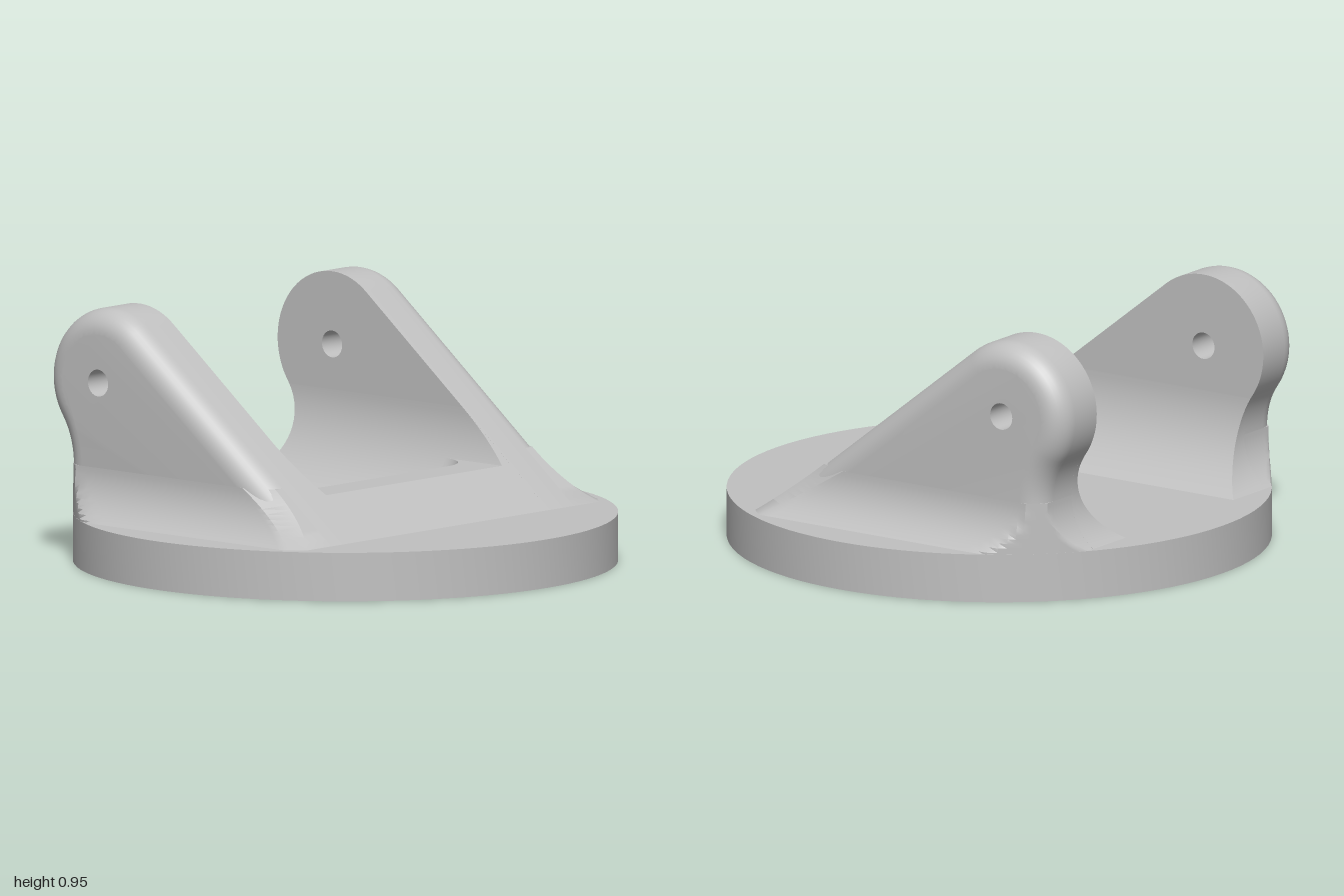
import * as THREE from 'three';
import { toCreasedNormals } from 'three/addons/utils/BufferGeometryUtils.js';

const FLOOR = 0.18, NECK = 0.37, SLOPE = 0.789;
const PIVOT = { z: -0.545, y: 0.685, r: 0.27 };

// Side profile rules as functions of height
const slopeZ = y => 0.53 - (y - FLOOR) / SLOPE;
const arcDrop = (r, d) => r - Math.sqrt(r * r - d * d);
const flare = y => (y < NECK ? arcDrop(0.235, NECK - y) : 0);
const backZ = y => -0.715 - (y < NECK ? flare(y) : arcDrop(0.276, y - NECK));
const innerX = y => 0.525 - arcDrop(0.4, Math.max(0, 0.517 - y));
const steps = (a, b, n) => Array.from({ length: n + 1 }, (_, i) => a + (b - a) * i / n);

// Capped loft through rings of [u, v] at heights w, with an optional straight hole.
// axis 'y': u = x, v = z, w = y.  axis 'x': u = z, v = y, w = x.
function loft(levels, axis = 'y', hole = []) {
  const pos = [], idx = [], n = levels[0].ring.length, m = hole.length, stride = n + m;
  const toV2 = r => r.map(p => new THREE.Vector2(p[0], p[1]));
  const clockwise = THREE.ShapeUtils.isClockWise(toV2(levels[0].ring));
  const rings = levels.map(l => (clockwise ? [...l.ring].reverse() : l.ring));
  rings.forEach((ring, k) => [...ring, ...hole].forEach(([u, v]) => {
    const w = levels[k].w;
    if (axis === 'y') pos.push(u, w, v); else pos.push(w, v, u);
  }));
  const wall = (start, count, flip) => {
    for (let k = 0; k < rings.length - 1; k++) for (let i = 0; i < count; i++) {
      const a = k * stride + start + i, b = k * stride + start + (i + 1) % count;
      const c = b + stride, d = a + stride;
      if (flip) idx.push(a, b, c, a, c, d); else idx.push(a, c, b, a, d, c);
    }
  };
  wall(0, n, false);
  if (m) wall(n, m, true);
  const last = (rings.length - 1) * stride;
  const cap = (ring, base, flip) => {
    for (const [a, b, c] of THREE.ShapeUtils.triangulateShape(toV2(ring), m ? [toV2(hole)] : [])) {
      if (flip) idx.push(base + a, base + b, base + c); else idx.push(base + a, base + c, base + b);
    }
  };
  cap(rings[0], 0, true);
  cap(rings[rings.length - 1], last, false);
  const g = new THREE.BufferGeometry();
  g.setAttribute('position', new THREE.Float32BufferAttribute(pos, 3));
  g.setIndex(idx);
  return g;
}

function mirrored(geometry) {
  const g = geometry.clone().scale(-1, 1, 1);
  g.index.array.reverse();
  return g;
}

// Lug plate: sloped front, round head, waisted back, rounded outer edge
function lugPlate() {
  const tilt = 0.902, outline = []; // z, y, normal z, normal y
  const cn = Math.cos(tilt), sn = Math.sin(tilt);
  outline.push([slopeZ(0.12), 0.12, cn, sn]);
  for (const a of steps(tilt, Math.PI + 0.615, 40)) {
    outline.push([PIVOT.z + PIVOT.r * Math.cos(a), PIVOT.y + PIVOT.r * Math.sin(a), Math.cos(a), Math.sin(a)]);
  }
  for (const y of steps(0.515, NECK, 8)) {
    const s = (y - NECK) / 0.276;
    outline.push([backZ(y), y, -Math.sqrt(1 - s * s), -s]);
  }
  outline.push([-0.715, 0.12, -1, 0]);
  const inset = d => outline.map(([z, y, nz, ny]) => [z - nz * d, y - ny * d]);
  const levels = [{ w: 0.525, ring: inset(0) }];
  for (const a of steps(0, Math.PI / 2, 8)) {
    levels.push({ w: 0.66 + 0.09 * Math.sin(a), ring: inset(0.09 * (1 - Math.cos(a))) });
  }
  const hole = steps(0, 2 * Math.PI, 32).slice(0, -1)
    .map(a => [PIVOT.z + 0.05 * Math.cos(a), PIVOT.y + 0.05 * Math.sin(a)]);
  return loft(levels, 'x', hole);
}

// Flared outer foot, trimmed to the disc rim
function outerFoot() {
  return loft(steps(0.17, NECK, 12).map(y => {
    const x = 0.75 + flare(y), zb = backZ(y), zf = slopeZ(y);
    const cut = 0.05 + 0.07 * (y - 0.17) / 0.2;
    const ring = [[0.54, zf]];
    for (const t of steps(0.54, x, 12)) ring.push([t, zb]);
    for (const t of steps(zb, zf - cut, 30).slice(1)) ring.push([x, t]);
    ring.push([x - 0.05, zf]);
    return {
      w: y,
      ring: ring.map(([u, v]) => {
        const k = Math.min(1, 0.999 / Math.hypot(u, v));
        return [u * k, v * k];
      }),
    };
  }));
}

// Concave fillet on the inside of each lug
function innerFillet() {
  return loft(steps(0.17, 0.517, 16).map(y => ({
    w: y,
    ring: [[innerX(y), slopeZ(y)], [innerX(y), backZ(y)], [0.545, backZ(y)], [0.545, slopeZ(y)]],
  })));
}

// Front cross bar with rounded inside corners
function crossBar() {
  return loft(steps(0.17, 0.33, 8).map(y => {
    const x = innerX(y), half = [[x + 0.02, slopeZ(y)], [x + 0.02, 0.06]];
    for (const a of steps(0, Math.PI / 2, 12)) {
      half.push([x - 0.14 + 0.14 * Math.cos(a), 0.06 + 0.14 * Math.sin(a)]);
    }
    return { w: y, ring: [...half, ...half.map(([u, v]) => [-u, v]).reverse()] };
  }));
}

export function createModel() {
  const group = new THREE.Group();
  group.name = 'clevisBracket';
  const grey = new THREE.MeshStandardMaterial({ color: 0xc0c0c0 });
  grey.name = 'plain grey';
  const add = (geometry, name) => {
    const mesh = new THREE.Mesh(toCreasedNormals(geometry, 0.55), grey);
    mesh.name = name;
    group.add(mesh);
  };

  // Round base with centre hole and recess underneath
  const profile = [[1, 0], [1, 0.18], [0.08, 0.18], [0.08, 0.07], [0.42, 0.07], [0.42, 0], [1, 0]];
  add(new THREE.LatheGeometry(profile.map(p => new THREE.Vector2(...p)), 96), 'baseDisc');

  // Shallow pads either side of the groove in the recess
  for (const s of [1, -1]) {
    const ring = steps(0.265, Math.PI - 0.265, 32).map(a => [0.42 * Math.cos(a), s * 0.42 * Math.sin(a)]);
    add(loft([{ w: 0.06, ring }, { w: 0.072, ring }]), s > 0 ? 'frontRecessPad' : 'backRecessPad');
  }

  add(crossBar(), 'crossBar');

  // Mirrored lugs
  const parts = { LugPlate: lugPlate(), OuterFoot: outerFoot(), InnerFillet: innerFillet() };
  for (const [name, geometry] of Object.entries(parts)) {
    add(geometry, 'left' + name);
    add(mirrored(geometry), 'right' + name);
  }
  return group;
}
